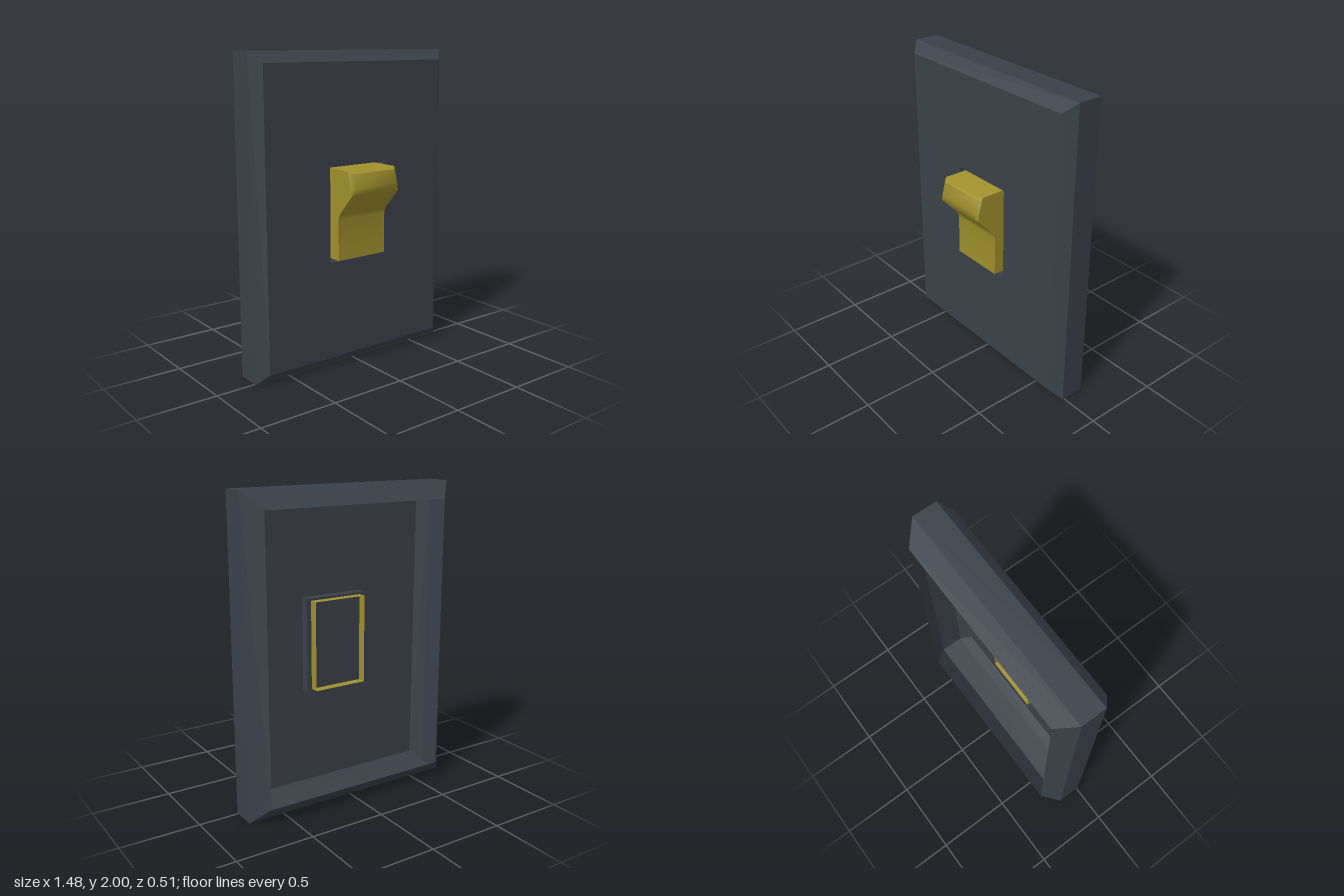
import * as THREE from 'three';
import { toCreasedNormals } from 'three/addons/utils/BufferGeometryUtils.js';

const plateMaterial = new THREE.MeshStandardMaterial({ color: 0x3b4049, side: THREE.DoubleSide });
const rockerMaterial = new THREE.MeshStandardMaterial({ color: 0xa0902c, side: THREE.DoubleSide });

// Joins rows of points (each [x, y, z]) into a creased sheet
function skin(rows, crease) {
  const pos = [], index = [], n = rows[0].length;
  rows.forEach((row) => row.forEach((p) => pos.push(...p)));
  for (let i = 0; i < rows.length - 1; i++) {
    for (let j = 0; j < n - 1; j++) {
      const a = i * n + j, b = a + 1, c = a + n, d = c + 1;
      index.push(a, b, d, a, d, c);
    }
  }
  const g = new THREE.BufferGeometry();
  g.setAttribute('position', new THREE.Float32BufferAttribute(pos, 3));
  g.setIndex(index);
  return toCreasedNormals(g, crease);
}

// Closed rectangle centred on y = 1, counter-clockwise from the front
function rectangle(halfW, halfH, z) {
  return [[-1, -1], [1, -1], [1, 1], [-1, 1], [-1, -1]].map(([x, y]) => [x * halfW, 1 + y * halfH, z]);
}

function addMesh(group, name, geometry, material) {
  const mesh = new THREE.Mesh(geometry, material);
  mesh.name = name;
  group.add(mesh);
  return mesh;
}

function createPlate() {
  const plate = new THREE.Group();
  plate.name = 'wallPlate';
  const frontZ = 0.073, recessZ = 0.017, holeW = 0.215, holeH = 0.304;

  // Thin shell: rear bevel, side walls, front bevel
  addMesh(plate, 'plateRim', skin([
    rectangle(0.64, 0.895, -0.255),
    rectangle(0.74, 1, -0.15),
    rectangle(0.74, 1, 0.01),
    rectangle(0.675, 0.935, frontZ),
  ], 0.3), plateMaterial);

  // Front face with the rocker opening
  const points = (w, h) => rectangle(w, h, 0).slice(0, 4).map(([x, y]) => new THREE.Vector2(x, y));
  const face = new THREE.Shape(points(0.675, 0.935));
  face.holes.push(new THREE.Path(points(holeW, holeH)));
  addMesh(plate, 'plateFace', new THREE.ShapeGeometry(face).translate(0, 0, frontZ), plateMaterial);

  // Shallow recess behind the opening
  addMesh(plate, 'recessWalls', skin([
    rectangle(holeW, holeH, frontZ),
    rectangle(holeW, holeH, recessZ),
  ], 0.3), plateMaterial);
  addMesh(plate, 'recessBack',
    new THREE.PlaneGeometry(holeW * 2, holeH * 2).translate(0, 1, recessZ), plateMaterial);
  return plate;
}

function createRocker() {
  const rocker = new THREE.Group();
  rocker.name = 'rockerSwitch';
  const halfW = 0.183, bevel = 0.028, backZ = -0.04;

  // Side profiles as [z, y], from the top back edge to the bottom back edge
  const lower = [[0.137, 1.021], [0.122, 1.002], [0.115, 0.975], [0.115, 0.713], [backZ, 0.713]];
  const middle = [[backZ, 1.289], [0.205, 1.289], [0.238, 1.275], [0.256, 1.185], [0.25, 1.145], ...lower];
  const outer = [[backZ, 1.289], [0.205, 1.289], [0.212, 1.283], [0.24, 1.175], [0.245, 1.14], ...lower];

  const row = (x, profile) => profile.map(([z, y]) => [x, y, z]);
  addMesh(rocker, 'rockerFace', skin([
    row(-halfW, outer),
    row(-halfW + bevel, middle),
    row(halfW - bevel, middle),
    row(halfW, outer),
  ].reverse(), 0.85), rockerMaterial);

  // Flat sides; the back stays open
  const side = new THREE.Shape(outer.map(([z, y]) => new THREE.Vector2(z, y)));
  for (const s of [-1, 1]) {
    const g = new THREE.ShapeGeometry(side).rotateY(-Math.PI / 2);
    if (s > 0) {
      // Reverse the corner order so this side faces outward
      g.setIndex([...g.index.array].reverse());
      g.computeVertexNormals();
    }
    g.translate(s * halfW, 0, 0);
    addMesh(rocker, s > 0 ? 'rockerLeftSide' : 'rockerRightSide', g, rockerMaterial);
  }
  return rocker;
}

export function createModel() {
  const model = new THREE.Group();
  model.name = 'lightSwitch';
  model.add(createPlate(), createRocker());
  return model;
}
